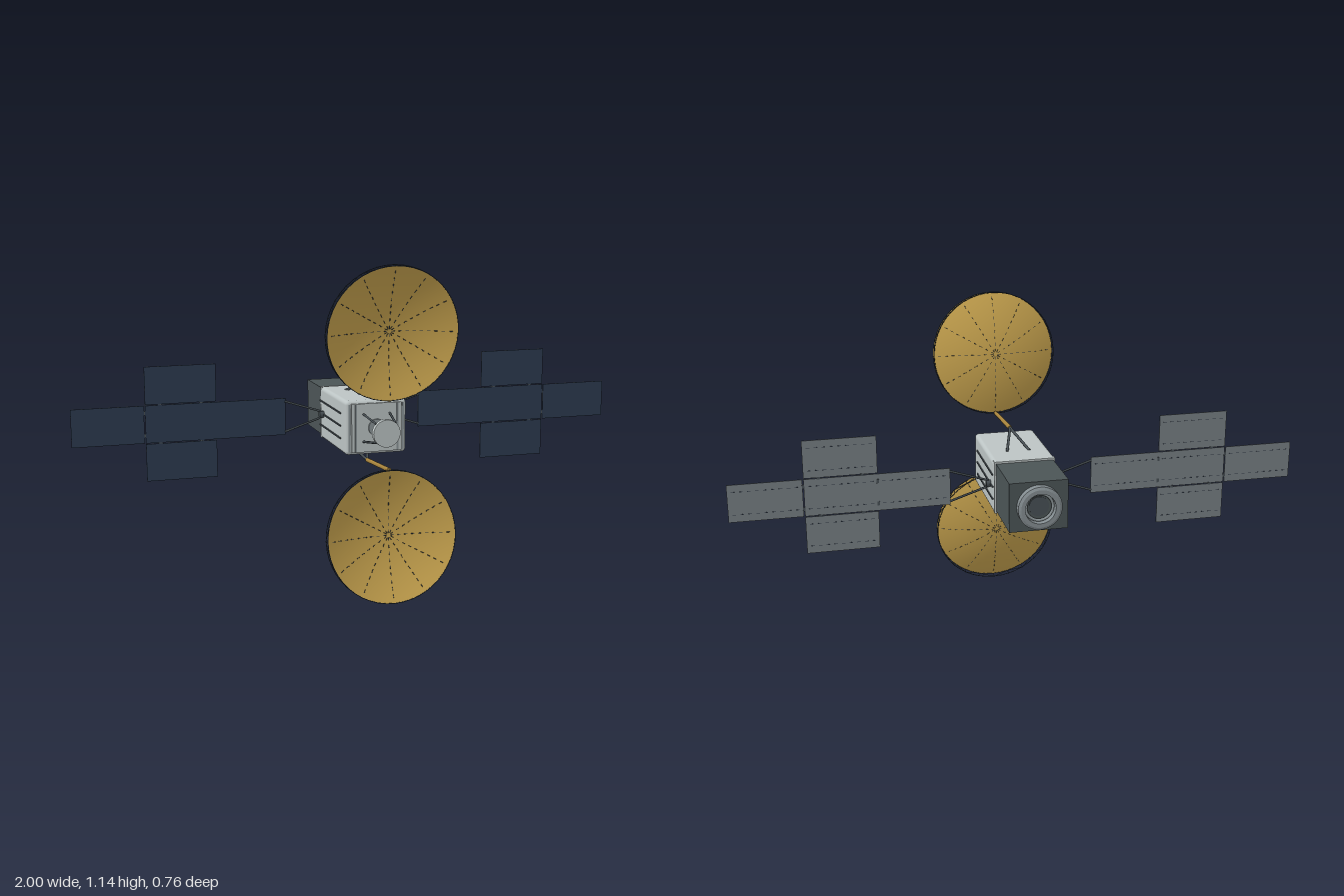
import * as THREE from 'three';
import { mergeGeometries } from 'three/addons/utils/BufferGeometryUtils.js';
import { RoundedBoxGeometry } from 'three/addons/geometries/RoundedBoxGeometry.js';

const CY = 0.571; // height of the satellite's long axis
const PANEL_Z = -0.1;
const V = (x, y, z) => new THREE.Vector3(x, y, z);

const mat = (name, color, side = THREE.FrontSide) =>
  new THREE.MeshStandardMaterial({ name, color, side });

// Geometry of a thin rod between two points
function rod(a, b, r, sides = 6) {
  const d = b.clone().sub(a);
  const g = new THREE.CylinderGeometry(r, r, d.length(), sides);
  g.applyQuaternion(new THREE.Quaternion().setFromUnitVectors(V(0, 1, 0), d.normalize()));
  return g.translate((a.x + b.x) / 2, (a.y + b.y) / 2, (a.z + b.z) / 2);
}
const box = (w, h, d, x, y, z) => new THREE.BoxGeometry(w, h, d).translate(x, y, z);
const tubeZ = (r, z0, z1, sides = 32) =>
  new THREE.CylinderGeometry(r, r, z1 - z0, sides).rotateX(Math.PI / 2).translate(0, 0, (z0 + z1) / 2);

export function createModel() {
  const root = new THREE.Group();
  root.name = 'satellite';
  const white = mat('body light grey', 0xbcc4c4);
  const grey = mat('fitting grey', 0x8b9497);
  const slate = mat('engine bay slate', 0x4b5456);
  const strutMat = mat('strut dark grey', 0x474f54);
  const gold = mat('dish gold', 0xc6a24e, THREE.DoubleSide);
  const boomMat = mat('boom gold', 0xa8843c);
  const truss = mat('truss dark', 0x303a46);
  const cell = mat('solar cell navy', 0x2c3b50);
  const back = mat('panel back grey', 0x757d82);

  const add = (parent, name, geo, material) => {
    const m = new THREE.Mesh(Array.isArray(geo) ? mergeGeometries(geo) : geo, material);
    m.name = name;
    parent.add(m);
    return m;
  };

  // Bus: everything here is centred on the long axis
  const bus = new THREE.Group();
  bus.name = 'bus';
  bus.position.y = CY;
  root.add(bus);
  add(bus, 'body', new RoundedBoxGeometry(0.218, 0.188, 0.325, 2, 0.014).translate(0, 0, 0.0125), white);
  add(bus, 'bodyRearFrame', box(0.212, 0.186, 0.02, 0, 0, -0.142), white);
  add(bus, 'frontPlate', box(0.178, 0.168, 0.012, 0, 0, 0.175), white);
  add(bus, 'engineBay', box(0.2, 0.172, 0.2, 0, 0, -0.25), slate);

  // Side rails and front trim
  const rails = [], trim = [];
  for (const s of [-1, 1]) {
    for (const y of [-0.044, 0, 0.044]) rails.push(box(0.006, 0.005, 0.26, s * 0.11, y, -0.01));
    trim.push(box(0.006, 0.164, 0.003, s * 0.074, 0, 0.1825));
    trim.push(box(0.006, 0.164, 0.006, s * 0.096, 0, 0.174));
  }
  add(bus, 'sideRails', rails, strutMat);
  add(bus, 'frontTrim', trim, grey);

  // Engine nozzle: a stepped open ring with a recessed inner bell
  const ring = [[0.052, 0], [0.052, 0.03], [0.066, 0.03], [0.075, 0.025], [0.075, 0], [0.052, 0]]
    .map(([r, y]) => new THREE.Vector2(r, y)).reverse();
  const nozzle = new THREE.LatheGeometry(ring, 32).toNonIndexed();
  nozzle.computeVertexNormals();
  const nozzleMat = mat('nozzle grey', 0x848d91, THREE.DoubleSide);
  add(bus, 'nozzleRing', nozzle.rotateX(-Math.PI / 2).translate(0, 0, -0.348), nozzleMat);
  add(bus, 'nozzleLip', new THREE.TorusGeometry(0.046, 0.005, 8, 32).translate(0, 0, -0.358), grey);
  add(bus, 'nozzleThroat', tubeZ(0.034, -0.353, -0.349), strutMat);

  // Small front reflector on four converging struts
  add(bus, 'frontReflector', tubeZ(0.047, 0.274, 0.293), white);
  add(bus, 'feedBase', tubeZ(0.03, 0.18, 0.188), grey);
  const feet = [];
  for (const x of [-1, 1]) for (const y of [-1, 1])
    feet.push(rod(V(x * 0.047, y * 0.048, 0.178), V(x * 0.034, y * 0.032, 0.28), 0.004));
  add(bus, 'reflectorStruts', feet, strutMat);

  // Solar wings
  for (const s of [-1, 1]) {
    const wing = new THREE.Group();
    wing.name = s > 0 ? 'leftSolarWing' : 'rightSolarWing';
    wing.position.set(0, CY, PANEL_Z);
    root.add(wing);
    const fronts = [], backs = [], dashes = [], hinges = [];
    const panels = [[0.374, 0], [0.622, 0], [0.874, 0], [0.622, 0.135], [0.622, -0.135]];
    for (const [px, y] of panels) {
      const x = s * px;
      fronts.push(box(0.248, 0.132, 0.002, x, y, 0.001));
      backs.push(box(0.248, 0.132, 0.002, x, y, -0.001));
      for (const dy of [-0.04, 0.04]) for (let i = 0; i < 9; i++)
        dashes.push(box(0.012, 0.002, 0.001, x + (i - 4) * 0.026, y + dy, -0.0023));
    }
    for (const x of [0.498, 0.748]) for (const y of [-0.04, 0.04])
      hinges.push(box(0.008, 0.014, 0.005, s * x, y, -0.001));
    for (const x of [0.55, 0.695]) for (const y of [-0.0675, 0.0675])
      hinges.push(box(0.014, 0.008, 0.005, s * x, y, -0.001));
    add(wing, 'cellFaces', fronts, cell);
    add(wing, 'panelBacks', backs, back);
    add(wing, 'panelBackStitches', dashes, truss);
    add(wing, 'panelHinges', hinges, strutMat);
    add(wing, 'yoke', [
      ...[-1, 1].map(y => rod(V(s * 0.115, y * 0.01, 0), V(s * 0.252, y * 0.055, 0), 0.004)),
      new THREE.CylinderGeometry(0.012, 0.012, 0.02, 12).rotateZ(Math.PI / 2).translate(s * 0.115, 0, 0),
    ], strutMat);
  }

  // Dish profile: shallow parabola, rim at local y = 0
  const R = 0.225, DEPTH = 0.045;
  const bowlY = r => DEPTH * ((r / R) ** 2 - 1);
  const profile = Array.from({ length: 13 }, (_, i) => new THREE.Vector2(R * i / 12, bowlY(R * i / 12)));
  const polar = (r, a, y) => V(r * Math.cos(a), y, r * Math.sin(a));

  // Upper and lower antennas
  for (const s of [-1, 1]) {
    const antenna = new THREE.Group();
    antenna.name = s > 0 ? 'upperAntenna' : 'lowerAntenna';
    antenna.position.y = CY;
    root.add(antenna);

    // V bracket from the bus, then a straight boom to the dish rim
    const elbow = V(0, s * 0.137, 0.075);
    add(antenna, 'bracket', [-1, 1].map(x => rod(V(x * 0.04, s * 0.092, -0.055), elbow, 0.005)), strutMat);
    add(antenna, 'boom', rod(elbow, V(0, s * 0.119, 0.315), 0.0075, 8), boomMat);

    const dish = new THREE.Group();
    dish.name = 'dish';
    dish.position.set(0, s * 0.3405, 0.355);
    dish.rotation.x = Math.PI / 2 + s * 0.111;
    antenna.add(dish);
    add(dish, 'bowl', new THREE.LatheGeometry(profile, 48), gold);

    // Dashed radial ribs lying in the bowl
    const ribs = [];
    for (let k = 0; k < 12; k++) {
      const a = k * Math.PI / 6;
      for (let i = 0; i < 9; i++) {
        const r0 = 0.008 + i * 0.0235, r1 = r0 + 0.011;
        ribs.push(rod(polar(r0, a, bowlY(r0) + 0.0006), polar(r1, a, bowlY(r1) + 0.0006), 0.0012, 5));
      }
    }
    add(dish, 'ribs', ribs, truss);

    // Rim truss: two hoops joined by posts and diagonals
    const N = 24, step = 2 * Math.PI / N, bars = [];
    for (const y of [0, -0.023])
      bars.push(new THREE.TorusGeometry(R - 0.001, 0.0013, 5, 48).rotateX(Math.PI / 2).translate(0, y, 0));
    for (let i = 0; i < N; i++) {
      const a = i * step, up = i % 2 ? 0 : -0.023;
      bars.push(rod(polar(R, a, 0), polar(R, a, -0.023), 0.001, 5));
      bars.push(rod(polar(R, a, up), polar(R, a + step, -0.023 - up), 0.001, 5));
    }
    add(dish, 'rimTruss', bars, truss);
  }
  return root;
}
